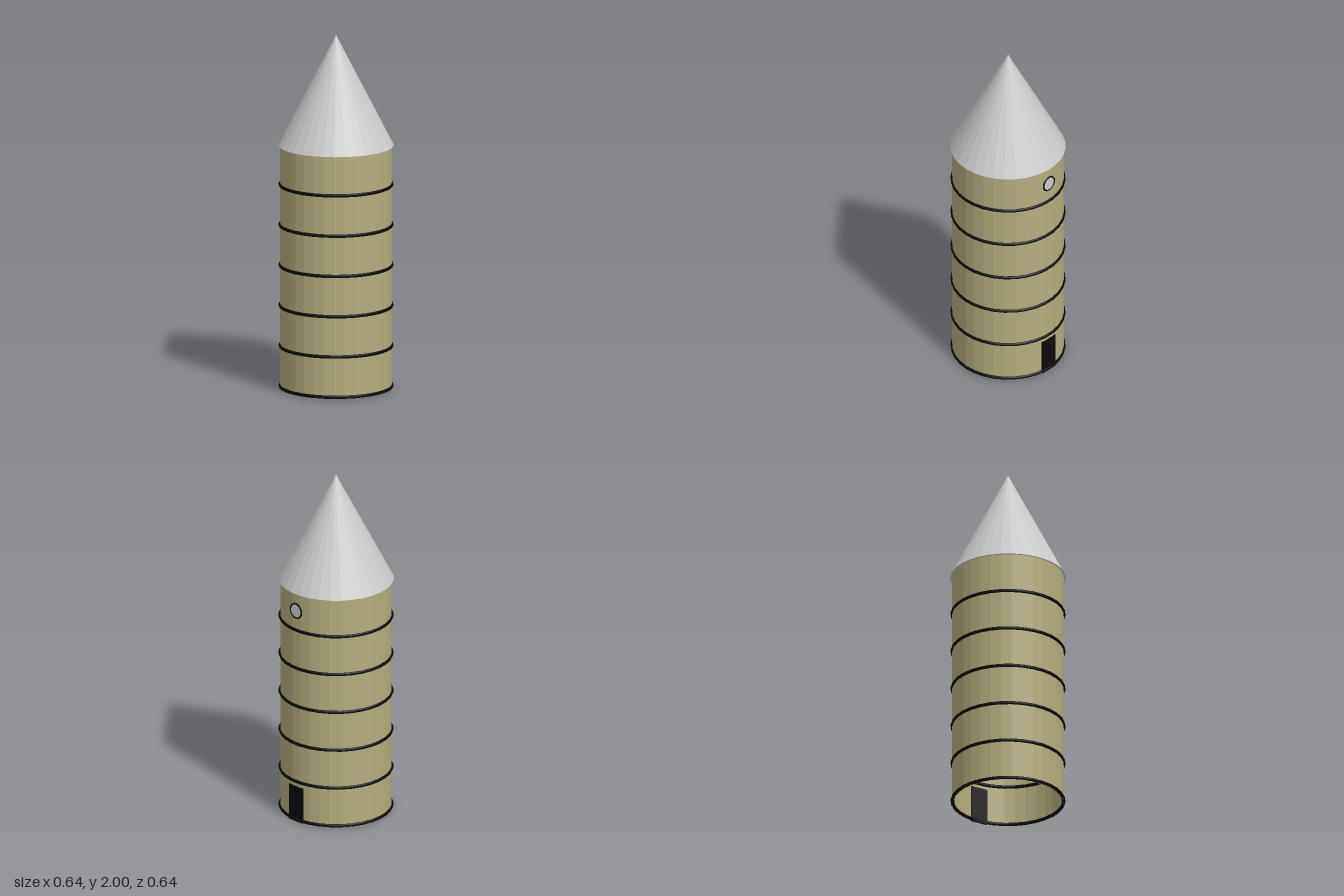
import * as THREE from 'three';

const SIDES = 32;
const RADIUS = 0.31;

function material(color, extra = {}) {
  return new THREE.MeshStandardMaterial({ color, ...extra });
}

function addMesh(parent, name, geometry, mat, x = 0, y = 0, z = 0) {
  const mesh = new THREE.Mesh(geometry, mat);
  mesh.name = name;
  mesh.position.set(x, y, z);
  parent.add(mesh);
  return mesh;
}

export function createModel() {
  const tower = new THREE.Group();
  tower.name = 'tower';

  const stone = material(0xb5ad80, { flatShading: true, side: THREE.DoubleSide });
  const black = material(0x0a0a0a);
  const grey = material(0xcccccc, { flatShading: true });

  // Hollow wall, open at the bottom
  const wallHeight = 1.38;
  addMesh(tower, 'wall',
    new THREE.CylinderGeometry(RADIUS, RADIUS, wallHeight, SIDES, 1, true), stone, 0, wallHeight / 2, 0);

  // Pointed roof with a slight overhang
  const roofBase = 1.375;
  addMesh(tower, 'roof',
    new THREE.ConeGeometry(0.32, 2 - roofBase, SIDES), grey, 0, (2 + roofBase) / 2, 0);

  // Evenly spaced hoops, showing inside and outside the wall
  const hoop = new THREE.TorusGeometry(RADIUS - 0.001, 0.01, 8, SIDES).rotateX(Math.PI / 2);
  for (let i = 0; i < 6; i++) {
    addMesh(tower, 'hoop' + (i + 1), hoop, black, 0, 0.011 + i * 0.2285, 0);
  }

  // Door and window share one bearing; local +z points outward
  const openings = new THREE.Group();
  openings.name = 'openings';
  openings.rotation.y = Math.PI / 2 + Math.atan2(0.09, 0.297);
  tower.add(openings);

  addMesh(openings, 'door', new THREE.BoxGeometry(0.104, 0.21, 0.012), black, 0, 0.105, 0.306);

  const windowY = 1.27;
  addMesh(openings, 'windowPane',
    new THREE.CylinderGeometry(0.042, 0.042, 0.01, 24).rotateX(Math.PI / 2), grey, 0, windowY, 0.307);
  addMesh(openings, 'windowFrame',
    new THREE.TorusGeometry(0.042, 0.005, 8, 24), black, 0, windowY, 0.31);

  return tower;
}
